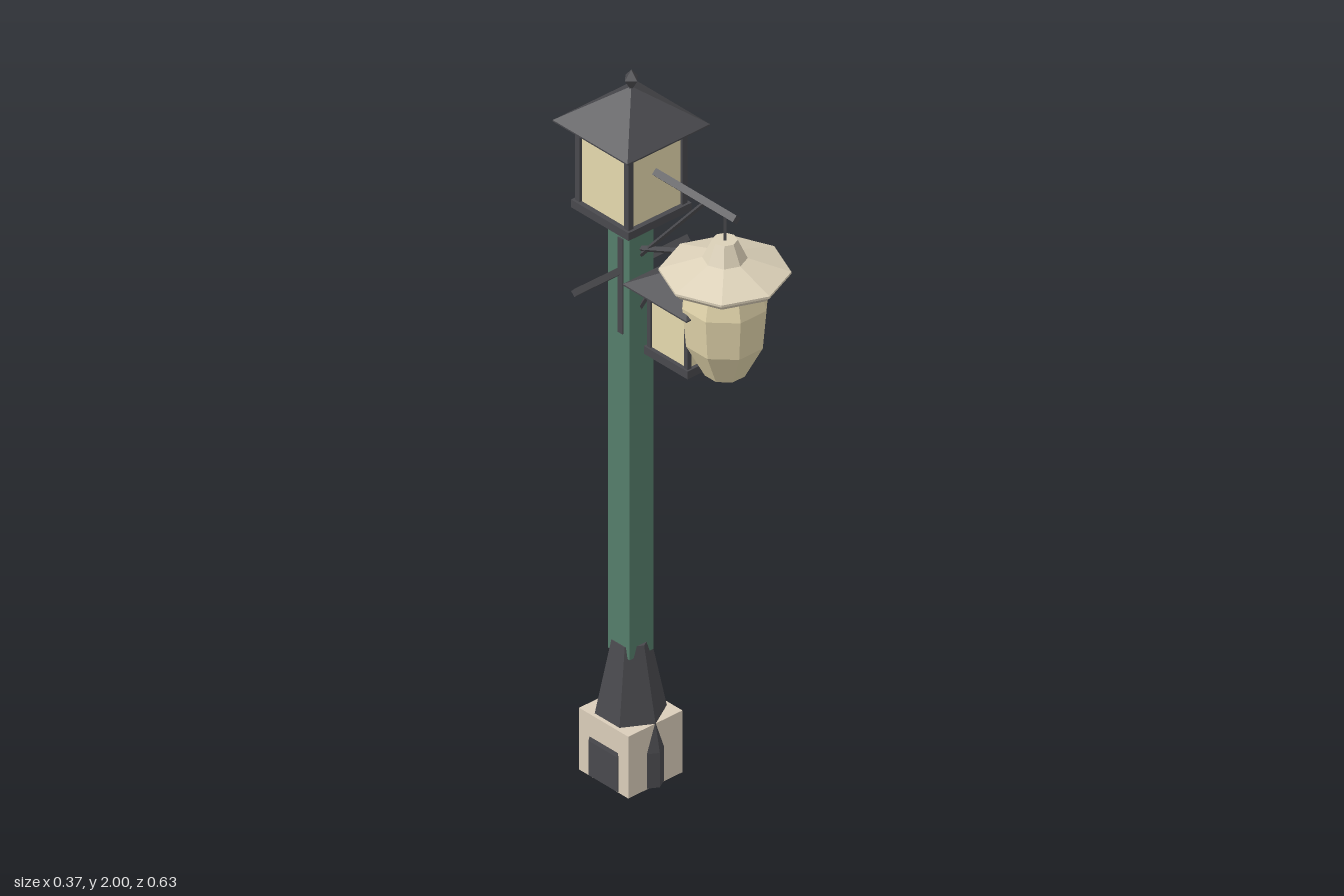
import * as THREE from 'three';

const mat = (name, color) => {
  const m = new THREE.MeshStandardMaterial({ color });
  m.name = name;
  return m;
};

export function createModel() {
  const iron = mat('dark iron', 0x49494d);
  const green = mat('green paint', 0x557e6b);
  const stone = mat('pale stone', 0xdacdba);
  const glass = mat('warm glass', 0xe5d9ae);
  const paper = mat('lantern paper', 0xe0d3aa);
  const shade = mat('lantern shade', 0xdbd0b8);
  const root = new THREE.Group();
  const POLE_Z = -0.183;
  const TOP_Z = -0.181;

  const add = (name, geo, material, x, y, z, parent = root) => {
    const mesh = new THREE.Mesh(geo, material);
    mesh.name = name;
    mesh.position.set(x, y, z);
    parent.add(mesh);
    return mesh;
  };
  const box = (name, w, h, d, material, x, y, z, parent) =>
    add(name, new THREE.BoxGeometry(w, h, d), material, x, y, z, parent);

  // Faceted solid of revolution; profile runs from bottom to top
  const turned = (name, profile, sides, turn, material, x, y, z, parent) => {
    const pts = profile.map(([r, h]) => new THREE.Vector2(r, h));
    const geo = new THREE.LatheGeometry(pts, sides, turn).toNonIndexed();
    geo.computeVertexNormals();
    return add(name, geo, material, x, y, z, parent);
  };

  // Four-sided bar between two points
  const bar = (name, a, b, r) => {
    const from = new THREE.Vector3(...a), to = new THREE.Vector3(...b);
    const dir = to.clone().sub(from);
    const geo = new THREE.CylinderGeometry(r, r, dir.length(), 4).toNonIndexed();
    geo.computeVertexNormals();
    const mesh = add(name, geo, iron, 0, 0, 0);
    mesh.position.copy(from).add(to).multiplyScalar(0.5);
    mesh.quaternion.setFromUnitVectors(new THREE.Vector3(0, 1, 0), dir.normalize());
  };

  // Square lantern: floor, panes, corner posts, top frame, pyramid roof
  const boxLantern = (name, y, z, half, height, roofHalf, roofHeight) => {
    const g = new THREE.Group();
    g.name = name;
    g.position.set(0, y, z);
    root.add(g);
    const post = half * 0.17, base = 0.022, s = Math.SQRT2;
    box('lanternFloor', half * 2.14, base, half * 2.14, iron, 0, base / 2, 0, g);
    box('lanternGlass', half * 1.84, height - base, half * 1.84, glass, 0, (height + base) / 2, 0, g);
    const p = half - post / 2;
    for (const sx of [-1, 1]) for (const sz of [-1, 1])
      box('cornerPost', post, height - base, post, iron, sx * p, (height + base) / 2, sz * p, g);
    for (const sgn of [-1, 1]) {
      box('topRail', half * 2, 0.01, post, iron, 0, height - 0.005, sgn * p, g);
      box('topRail', post, 0.01, half * 2, iron, sgn * p, height - 0.005, 0, g);
    }
    turned('lanternRoof', [[0, 0], [roofHalf * s, 0], [roofHalf * s, 0.004], [0, roofHeight]],
      4, Math.PI / 4, iron, 0, height, 0, g);
  };

  // Base: a square stone block with a flared hexagonal iron foot pushing through it
  const corner = 0.088 * Math.SQRT2;
  turned('stoneBlock', [[0, 0], [corner, 0], [corner, 0.176], [0, 0.176]],
    4, Math.PI / 4, stone, 0, 0, POLE_Z);
  turned('ironFoot', [[0, 0.002], [0.104, 0.002], [0.104, 0.1], [0.048, 0.38], [0, 0.38]],
    6, 0, iron, 0, 0, POLE_Z);

  // Pole with side strips, back plate and cross bar
  box('pole', 0.078, 1.26, 0.078, green, 0, 0.98, POLE_Z);
  box('poleBackPlate', 0.07, 0.57, 0.004, green, 0, 1.317, POLE_Z - 0.039);
  box('poleStrip', 0.086, 0.27, 0.018, iron, 0, 1.405, POLE_Z + 0.008);
  bar('crossBar', [-0.183, 1.44, POLE_Z], [0.183, 1.44, POLE_Z], 0.012);

  // Main lantern and finial
  boxLantern('mainLantern', 1.603, TOP_Z, 0.096, 0.243, 0.134, 0.106);
  turned('finial', [[0.008, 1.935], [0.006, 1.95], [0.021, 1.975], [0, 2]], 4, 0, iron, 0, 0, TOP_Z);

  // Upper arm and brace
  bar('upperArm', [0, 1.748, -0.1], [0, 1.748, 0.196], 0.013);
  bar('upperBrace', [0, 1.742, 0.08], [0, 1.485, -0.15], 0.006);
  bar('shadeHanger', [0, 1.748, 0.155], [0, 1.6, 0.155], 0.005);

  // Lower arm, brace and small lantern
  bar('lowerArm', [0, 1.582, 0.035], [0, 1.505, -0.15], 0.008);
  bar('lowerBrace', [0, 1.565, -0.015], [0, 1.335, -0.15], 0.006);
  bar('smallLanternHanger', [0, 1.58, 0.03], [0, 1.53, 0.03], 0.005);
  boxLantern('smallLantern', 1.285, 0.028, 0.073, 0.193, 0.114, 0.065);

  // Hanging paper lantern with a wide eight-sided shade
  turned('paperBody', [[0, 1.297], [0.052, 1.297], [0.1, 1.39], [0.11, 1.5],
    [0.09, 1.572], [0.05, 1.6]], 8, Math.PI / 8, paper, 0, 0, 0.155);
  turned('paperShade', [[0, 1.575], [0.145, 1.565], [0.16, 1.58], [0.16, 1.586], [0.055, 1.622],
    [0.031, 1.673], [0, 1.673]], 8, 0, shade, 0, 0, 0.154);

  return root;
}
